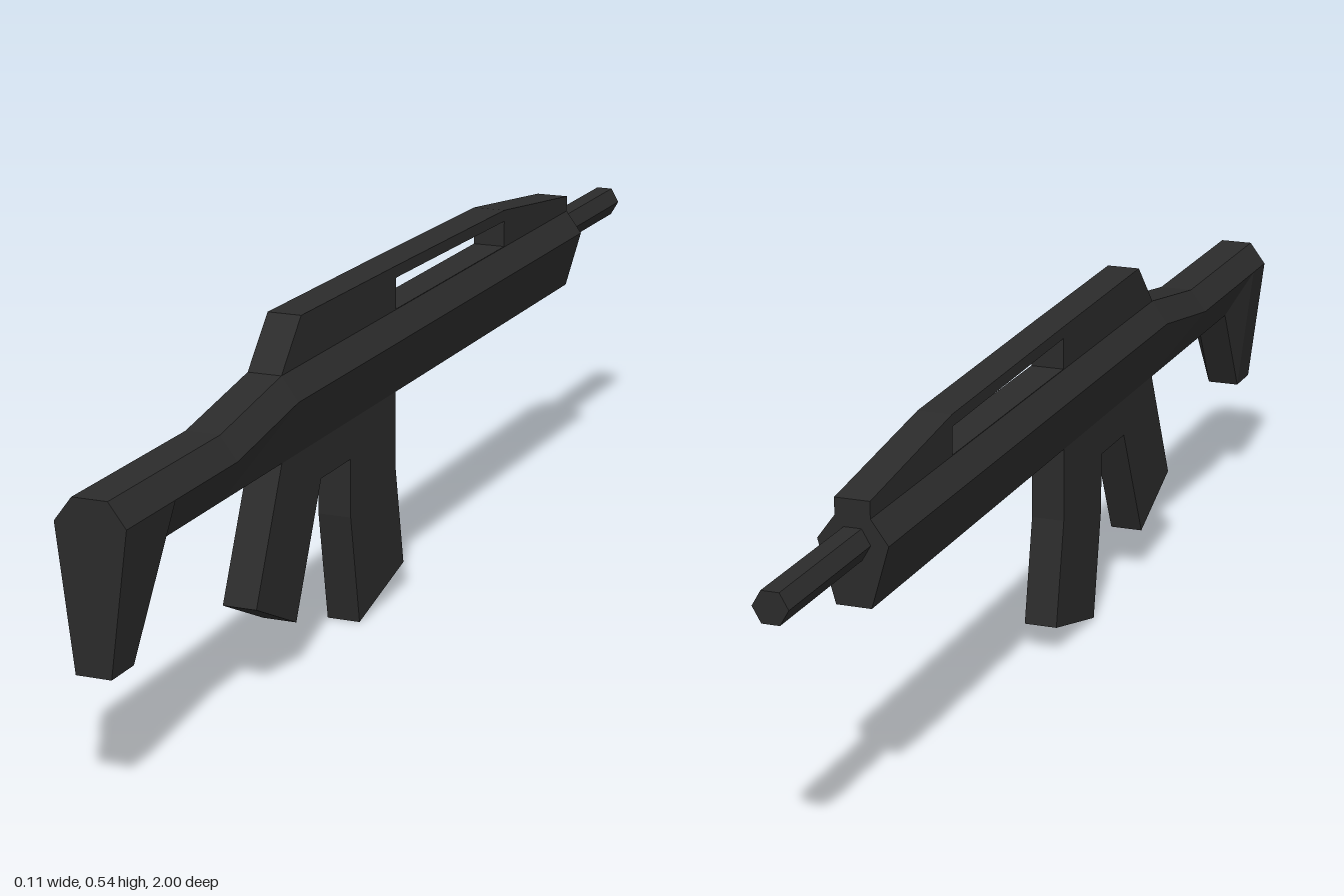
import * as THREE from 'three';

const HALF = 0.027; // half width of the narrow parts
const WIDE = 0.054; // half width at the side ridge

const material = new THREE.MeshStandardMaterial({ color: 0x2b2b2b, flatShading: true });

function part(name, geometry) {
  const mesh = new THREE.Mesh(geometry, material);
  mesh.name = name;
  return mesh;
}

// Flat slab from a side profile of [z, y] points, with optional hole
function slab(name, profile, hole) {
  const toPoints = (list) => list.map(([z, y]) => new THREE.Vector2(z, y));
  const shape = new THREE.Shape(toPoints(profile));
  if (hole) shape.holes.push(new THREE.Path(toPoints(hole)));
  const geometry = new THREE.ExtrudeGeometry(shape, { depth: 2 * HALF, bevelEnabled: false });
  geometry.rotateY(-Math.PI / 2).translate(HALF, 0, 0);
  return part(name, geometry);
}

// Hexagonal sections joined along z, listed from +z to -z as [z, top, ridge, bottom]
function hexLoft(name, sections) {
  const positions = [];
  const rings = sections.map(([z, top, ridge, bottom]) => [
    [HALF, top, z], [-HALF, top, z], [-WIDE, ridge, z],
    [-HALF, bottom, z], [HALF, bottom, z], [WIDE, ridge, z],
  ]);
  const tri = (a, b, c) => positions.push(...a, ...b, ...c);
  for (let i = 0; i < rings.length - 1; i++) {
    const a = rings[i], b = rings[i + 1];
    for (let j = 0; j < 6; j++) {
      const k = (j + 1) % 6;
      tri(a[j], b[j], b[k]);
      tri(a[j], b[k], a[k]);
    }
  }
  // End caps
  const first = rings[0], last = rings[rings.length - 1];
  for (let j = 1; j < 5; j++) {
    tri(first[0], first[j], first[j + 1]);
    tri(last[0], last[j + 1], last[j]);
  }
  const geometry = new THREE.BufferGeometry();
  geometry.setAttribute('position', new THREE.Float32BufferAttribute(positions, 3));
  geometry.computeVertexNormals();
  return part(name, geometry);
}

export function createModel() {
  const group = new THREE.Group();
  group.name = 'rifle';

  // Stock and receiver as one ridged body
  group.add(hexLoft('body', [
    [1, 0.433, 0.397, 0.183],
    [0.935, 0.433, 0.397, 0.183],
    [0.855, 0.433, 0.397, 0.335],
    [0.66, 0.433, 0.397, 0.335],
    [0.455, 0.467, 0.43, 0.335],
    [-0.73, 0.467, 0.43, 0.335],
  ]));

  // Raised top rail with its long window
  group.add(slab('topRail',
    [[0.455, 0.467], [-0.73, 0.467], [-0.73, 0.493], [-0.43, 0.53], [0.03, 0.537], [0.385, 0.541]],
    [[0.03, 0.468], [0.03, 0.518], [-0.43, 0.511], [-0.43, 0.468]]));

  // Grip, guard and curved magazine under the body
  group.add(slab('grip',
    [[0.455, 0.337], [0.548, 0.138], [0.41, 0.075], [0.317, 0.273], [0.317, 0.337]]));
  group.add(slab('guard',
    [[0.317, 0.337], [0.317, 0.273], [0.208, 0.273], [0.208, 0.337]]));
  group.add(slab('magazine',
    [[0.208, 0.337], [0.208, 0.18], [0.175, 0], [0, 0.045], [0.033, 0.215], [0.033, 0.337]]));

  // Six-sided barrel
  const barrel = new THREE.CylinderGeometry(HALF, HALF, 0.28, 6, 1, false, Math.PI / 6);
  barrel.rotateX(Math.PI / 2).translate(0, 0.428, -0.86);
  group.add(part('barrel', barrel));

  return group;
}
